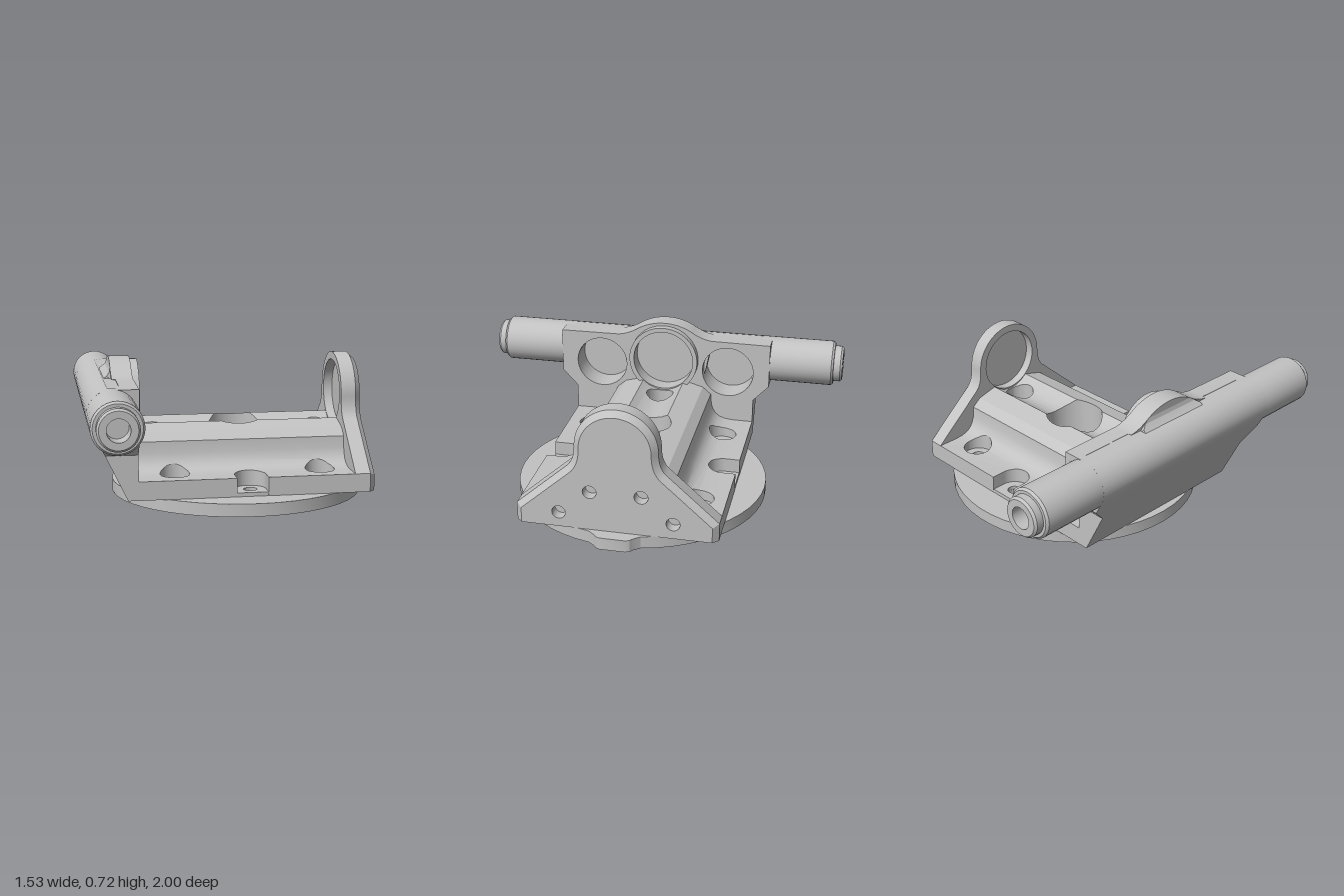
import * as THREE from 'three';
import { toCreasedNormals } from 'three/addons/utils/BufferGeometryUtils.js';

const CX = 0.06; // axis of the round base
const PI = Math.PI;
const mirror = [-1, 1];

export function createModel() {
  const model = new THREE.Group();
  const metal = new THREE.MeshStandardMaterial({ color: 0xc2c2c2 });
  metal.name = 'light grey metal';

  function add(name, geometry) {
    const mesh = new THREE.Mesh(toCreasedNormals(geometry, 0.4), metal);
    mesh.name = name;
    model.add(mesh);
  }
  const poly = (pts) => new THREE.Shape(pts.map((p) => new THREE.Vector2(p[0], p[1])));
  const circle = (x, y, r) => new THREE.Shape().absarc(x, y, r, 0, 2 * PI, false);
  const extrude = (shape, depth, options = {}) =>
    new THREE.ExtrudeGeometry(shape, { depth, bevelEnabled: false, curveSegments: 24, ...options });
  // shape drawn in x,z and raised from y0 to y1
  const extrudeY = (shape, y0, y1) => extrude(shape, y1 - y0).rotateX(PI / 2).translate(0, y1, 0);
  // symmetric shape drawn in z,y and pushed from x0 to x1
  const extrudeX = (shape, x0, x1) => extrude(shape, x1 - x0).rotateY(PI / 2).translate(x0, 0, 0);
  // shape drawn in x,y, centred on z = 0, with half width given by height
  function extrudeZ(shape, halfWidth) {
    const geometry = extrude(shape, 2).translate(0, 0, -1);
    const p = geometry.attributes.position;
    for (let i = 0; i < p.count; i++) p.setZ(i, p.getZ(i) * halfWidth(p.getY(i)));
    return geometry;
  }

  // ---- bolt positions: x, z, counterbore floor
  const corners = [];
  for (const s of mirror) for (const x of [-0.315, 0.435]) corners.push([x, s * 0.375, 0.11]);
  const pockets = [...corners, [-0.385, 0, 0.23], [0.505, 0, 0.23]];
  const slots = mirror.map((s) => [CX, s * 0.44]);

  // ---- round base with index tab
  const disc = new THREE.Shape();
  disc.absarc(CX, 0, 0.665, 0.2, 2 * PI - 0.2, false);
  for (const [x, z] of [[0.738, -0.1], [0.757, -0.085], [0.765, -0.065], [0.765, 0.065], [0.757, 0.085], [0.738, 0.1]]) disc.lineTo(x, z);
  disc.holes.push(circle(CX, 0, 0.31));
  for (const [x, z] of [...pockets, ...slots]) disc.holes.push(circle(x, z, 0.033));
  add('baseDisc', extrudeY(disc, 0, 0.065));

  // ---- bed: half profile of the top surface (z, height)
  const profile = [[0, 0.33], [0.04, 0.336], [0.08, 0.353], [0.115, 0.38], [0.225, 0.35], [0.272, 0.31],
    [0.277, 0.25], [0.287, 0.22], [0.302, 0.196], [0.325, 0.177], [0.36, 0.165], [0.405, 0.161], [0.515, 0.16]];
  function bedHeight(z) {
    const a = Math.min(Math.abs(z), 0.515);
    const i = Math.max(1, profile.findIndex((p) => p[0] >= a - 1e-6));
    const [z0, h0] = profile[i - 1], [z1, h1] = profile[i];
    return h0 + (h1 - h0) * (a - z0) / (z1 - z0);
  }
  const bed = new THREE.Shape();
  bed.moveTo(-0.51, -0.515).lineTo(CX - 0.08, -0.515).lineTo(CX - 0.08, -0.44);
  bed.absarc(CX, -0.44, 0.08, PI, 0, true);
  bed.lineTo(CX + 0.08, -0.515).lineTo(0.59, -0.515).lineTo(0.59, 0.515).lineTo(CX + 0.08, 0.515).lineTo(CX + 0.08, 0.44);
  bed.absarc(CX, 0.44, 0.08, 0, PI, true);
  bed.lineTo(CX - 0.08, 0.515).lineTo(-0.51, 0.515);
  bed.holes.push(circle(CX, 0, 0.15));
  for (const [x, z] of pockets) bed.holes.push(circle(x, z, 0.075));
  const breaks = profile.slice(0, -1).flatMap(([z]) => (z ? [-z, z] : [0]));
  const bedGeometry = sliceZ(extrudeY(bed, 0, 1), breaks);
  const bp = bedGeometry.attributes.position;
  for (let i = 0; i < bp.count; i++) bp.setY(i, bp.getY(i) > 0.5 ? bedHeight(bp.getZ(i)) : 0.065);
  add('bed', bedGeometry);

  // counterbore floors and slot floors
  for (const [x, z, floor] of pockets) {
    const ring = circle(x, z, 0.076);
    ring.holes.push(circle(x, z, 0.034));
    add('counterboreFloor', extrudeY(ring, 0.065, floor));
  }
  for (const [x, z] of slots) {
    const s = Math.sign(z);
    const floor = poly([[x - 0.08, s * 0.36], [x + 0.08, s * 0.36], [x + 0.08, s * 0.514], [x - 0.08, s * 0.514]]);
    floor.holes.push(circle(x, z, 0.034));
    add('slotFloor', extrudeY(floor, 0.06, 0.085));
  }

  // ---- end plate: inner layer with bearing recess, chamfered outer layer with bolt holes
  function endOutline(bottom) {
    const s = new THREE.Shape();
    s.moveTo(-0.515, bottom).lineTo(0.515, bottom).lineTo(0.515, 0.16).lineTo(0.25, 0.395);
    s.quadraticCurveTo(0.21, 0.43, 0.21, 0.51);
    s.absarc(0, 0.51, 0.21, 0, PI, false);
    s.quadraticCurveTo(-0.21, 0.43, -0.25, 0.395);
    s.lineTo(-0.515, 0.16);
    return s;
  }
  const inner = endOutline(0.065);
  inner.holes.push(circle(0, 0.51, 0.17));
  add('endPlateInner', extrudeX(inner, 0.587, 0.637));

  const outer = endOutline(0.03);
  const bolts = mirror.flatMap((s) => [[s * 0.13, 0.275], [s * 0.29, 0.145]]);
  for (const [z, y] of bolts) outer.holes.push(circle(z, y, 0.035));
  const outerGeometry = extrude(outer, 0.03, { bevelEnabled: true, bevelSegments: 1, bevelSize: 0.03, bevelThickness: 0.03, bevelOffset: -0.03 });
  const op = outerGeometry.attributes.position;
  for (let i = 0; i < op.count; i++) {
    let x = op.getX(i), y = op.getY(i);
    for (const [bx, by] of bolts) { // keep the bores straight
      const d = Math.hypot(x - bx, y - by);
      if (d < 0.07) {
        x = bx + (x - bx) * 0.035 / d;
        y = by + (y - by) * 0.035 / d;
        break;
      }
    }
    op.setXYZ(i, x, Math.max(y, 0.065), Math.max(op.getZ(i), 0)); // chamfer only the outer face
  }
  add('endPlateOuter', outerGeometry.rotateY(PI / 2).translate(0.635, 0, 0));

  // ---- pivot upright: front wall with two pockets and a bearing recess
  function hump(s) { // rounded crown over the bearing, drawn from +z to -z
    s.lineTo(0.27, 0.634);
    s.quadraticCurveTo(0.21, 0.64, 0.15, 0.68);
    s.quadraticCurveTo(0.08, 0.72, 0, 0.72);
    s.quadraticCurveTo(-0.08, 0.72, -0.15, 0.68);
    s.quadraticCurveTo(-0.21, 0.64, -0.27, 0.634);
    return s;
  }
  const pivotPockets = mirror.map((s) => circle(s * 0.365, 0.455, 0.145));
  const wall = new THREE.Shape();
  wall.moveTo(-0.515, 0.142).lineTo(0.515, 0.142).lineTo(0.515, 0.295).lineTo(0.6, 0.385).lineTo(0.6, 0.632);
  hump(wall).lineTo(-0.6, 0.632).lineTo(-0.6, 0.385).lineTo(-0.515, 0.295);
  wall.holes.push(circle(0, 0.51, 0.17), ...pivotPockets);
  add('pivotWall', extrudeX(wall, -0.6, -0.51));

  // deeper layer that continues the pockets
  const core = poly([[-0.515, 0.295], [0.515, 0.295], [0.6, 0.385], [0.6, 0.632], [-0.6, 0.632], [-0.6, 0.385]]);
  core.holes.push(...pivotPockets);
  add('pivotCore', extrudeX(core, -0.66, -0.6));

  // sloping back: foot, side flare, and the part wrapped round the shaft
  add('pivotFoot', extrudeZ(poly([[-0.509, 0.065], [-0.509, 0.142], [-0.6, 0.142], [-0.563, 0.065]]), () => 0.515));
  add('pivotSlope', extrudeZ(poly([[-0.6, 0.142], [-0.6, 0.295], [-0.673, 0.295]]), () => 0.515));
  add('pivotFlare', extrudeZ(poly([[-0.66, 0.295], [-0.66, 0.385], [-0.715, 0.385], [-0.673, 0.295]]), (y) => (y > 0.34 ? 0.6 : 0.515)));
  const back = [[-0.66, 0.385]];
  for (let i = 0; i <= 14; i++) {
    const a = 1.73 + (3.55 - 1.73) * i / 14;
    back.push([-0.64 + 0.125 * Math.cos(a), 0.51 + 0.125 * Math.sin(a)]);
  }
  back.push([-0.715, 0.385]);
  add('pivotBack', extrudeZ(poly(back), () => 0.6));

  // bearing lug, its fillet and raised rim
  add('bearingLug', extrudeX(hump(new THREE.Shape().moveTo(-0.21, 0.33).lineTo(0.21, 0.33)), -0.618, -0.56));
  const fillet = poly([[-0.67, 0.62], [-0.61, 0.62], [-0.61, 0.68], [-0.618, 0.68], [-0.624, 0.66], [-0.64, 0.643]]);
  add('lugFillet', extrudeZ(fillet, (y) => 0.21 - 0.06 * THREE.MathUtils.clamp((y - 0.64) / 0.04, 0, 1)));
  const rim = circle(0, 0.51, 0.195);
  rim.holes.push(circle(0, 0.51, 0.17));
  add('bearingRim', extrudeX(rim, -0.515, -0.47));

  // ---- pivot shaft ends, stepped and bored
  const shaft = [[0.125, 0.55], [0.125, 0.94], [0.115, 0.952], [0.1, 0.952], [0.1, 0.988], [0.09, 1], [0.055, 1], [0.055, 0.9], [0, 0.9]];
  for (const s of mirror) {
    const lathe = new THREE.LatheGeometry(shaft.map((p) => new THREE.Vector2(p[0], p[1])), 32);
    add('pivotShaft', lathe.rotateX(s * PI / 2).translate(-0.64, 0.51, 0));
  }
  return model;
}

// Splits every triangle along the given z planes
function sliceZ(geometry, planes) {
  const p = geometry.attributes.position;
  let tris = [];
  for (let i = 0; i < p.count; i += 3) tris.push([0, 1, 2].map((k) => new THREE.Vector3().fromBufferAttribute(p, i + k)));
  for (const c of planes) {
    const next = [];
    for (const tri of tris) {
      for (const side of mirror) {
        const out = [];
        tri.forEach((a, k) => {
          const b = tri[(k + 1) % 3];
          const da = (a.z - c) * side, db = (b.z - c) * side;
          if (da >= 0) out.push(a);
          if (da * db < 0) out.push(a.clone().lerp(b, da / (da - db)));
        });
        const repeated = side < 0 && out.every((v) => v.z === c);
        for (let k = 1; k + 1 < out.length && !repeated; k++) next.push([out[0], out[k], out[k + 1]]);
      }
    }
    tris = next;
  }
  return new THREE.BufferGeometry().setFromPoints(tris.flat());
}
